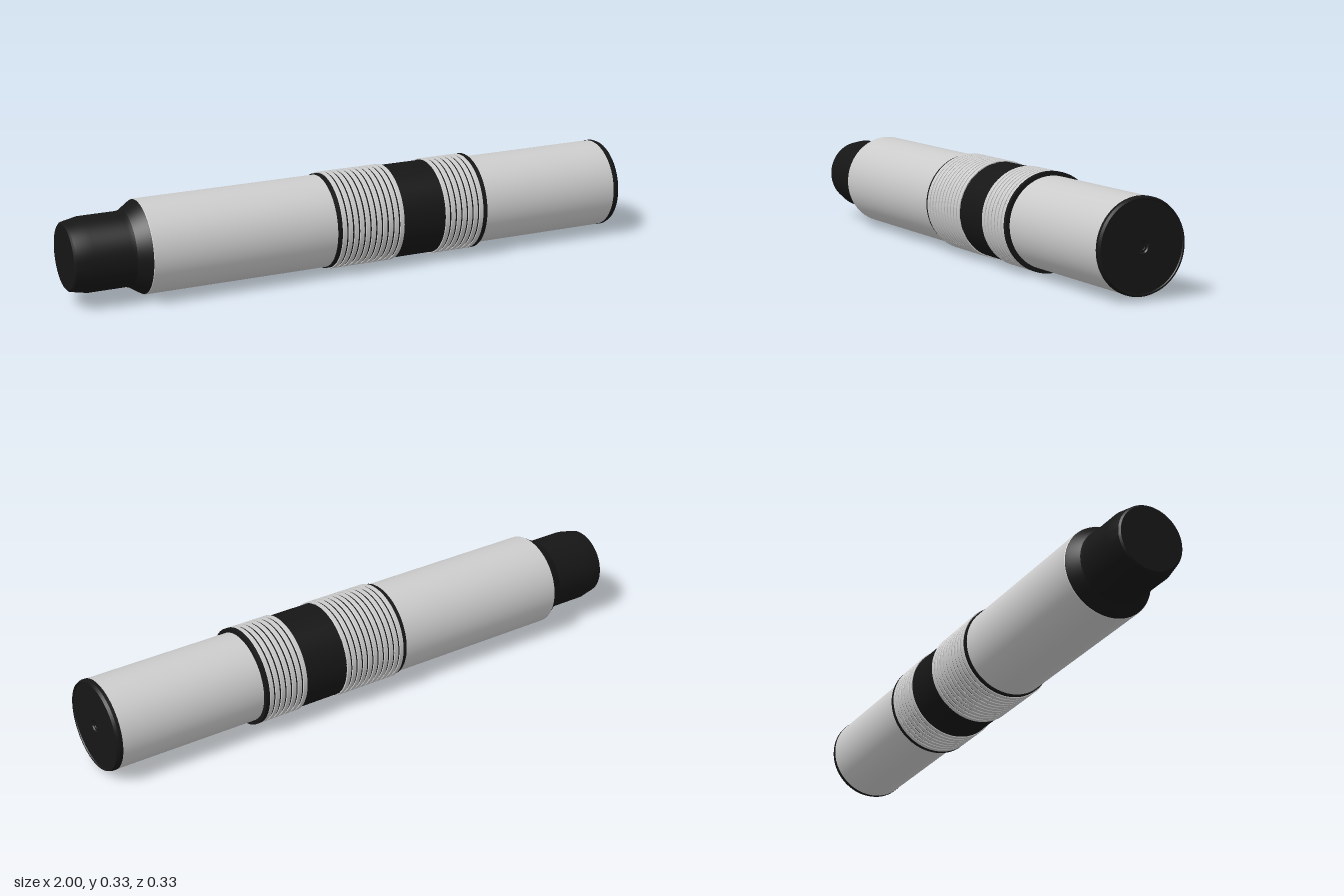
import * as THREE from 'three';
import { toCreasedNormals } from 'three/addons/utils/BufferGeometryUtils.js';

const AXIS_Y = 0.166;
const grey = new THREE.MeshStandardMaterial({ color: 0xcccccc });
const black = new THREE.MeshStandardMaterial({ color: 0x161616 });

// Turned part along x; profile is a list of [x, radius], from -x to +x
function turned(name, profile, material) {
  const points = profile.map(([x, r]) => new THREE.Vector2(r, x));
  const geometry = toCreasedNormals(new THREE.LatheGeometry(points, 72), 0.35);
  geometry.rotateZ(-Math.PI / 2);
  const mesh = new THREE.Mesh(geometry, material);
  mesh.name = name;
  return mesh;
}

// Evenly spaced raised rings with small edge bevels
function ringSet(name, start, end, count, radius) {
  const group = new THREE.Group();
  group.name = name;
  const pitch = (end - start) / count;
  const base = radius - 0.006, bevel = 0.001;
  for (let i = 0; i < count; i++) {
    const a = start + i * pitch + 0.003, b = start + (i + 1) * pitch - 0.003;
    group.add(turned('gripRing', [
      [a, base], [a, radius - bevel], [a + bevel, radius],
      [b - bevel, radius], [b, radius - bevel], [b, base],
    ], grey));
  }
  return group;
}

export function createModel() {
  const model = new THREE.Group();
  model.name = 'cylindricalHandle';
  const body = new THREE.Group();
  body.name = 'handleBody';
  body.position.y = AXIS_Y;
  model.add(body);

  // Narrow end plug, flaring out to the main tube
  body.add(turned('endPlug', [
    [-1, 0], [-1, 0.108], [-0.995, 0.114], [-0.94, 0.125], [-0.81, 0.125],
    [-0.795, 0.128], [-0.755, 0.154], [-0.748, 0.157], [-0.748, 0],
  ], black));

  // Main tube and narrower front tube
  body.add(turned('mainTube', [
    [-0.75, 0], [-0.75, 0.156], [-0.748, 0.158], [-0.1, 0.158], [-0.1, 0],
  ], grey));
  body.add(turned('frontTube', [[0.45, 0], [0.45, 0.152], [0.98, 0.152], [0.98, 0]], grey));

  // Dark sleeve showing through the ring gaps and as the centre band
  body.add(turned('gripSleeve', [
    [-0.102, 0], [-0.102, 0.162], [0.142, 0.162], [0.142, 0.161],
    [0.298, 0.161], [0.298, 0.162], [0.446, 0.162], [0.446, 0.166],
    [0.46, 0.166], [0.46, 0],
  ], black));
  body.add(ringSet('rearGripRings', -0.09, 0.145, 11, 0.166));
  body.add(ringSet('frontGripRings', 0.297, 0.448, 7, 0.166));

  // End cap: chamfered rim, shallow face and a small centre dimple
  body.add(turned('endCap', [
    [0.979, 0], [0.979, 0.153], [0.99, 0.153], [1, 0.149], [1, 0.144],
    [0.997, 0.142], [0.997, 0.021], [0.993, 0.018], [0.993, 0.012],
    [0.99, 0.011], [0.99, 0],
  ], black));
  return model;
}
